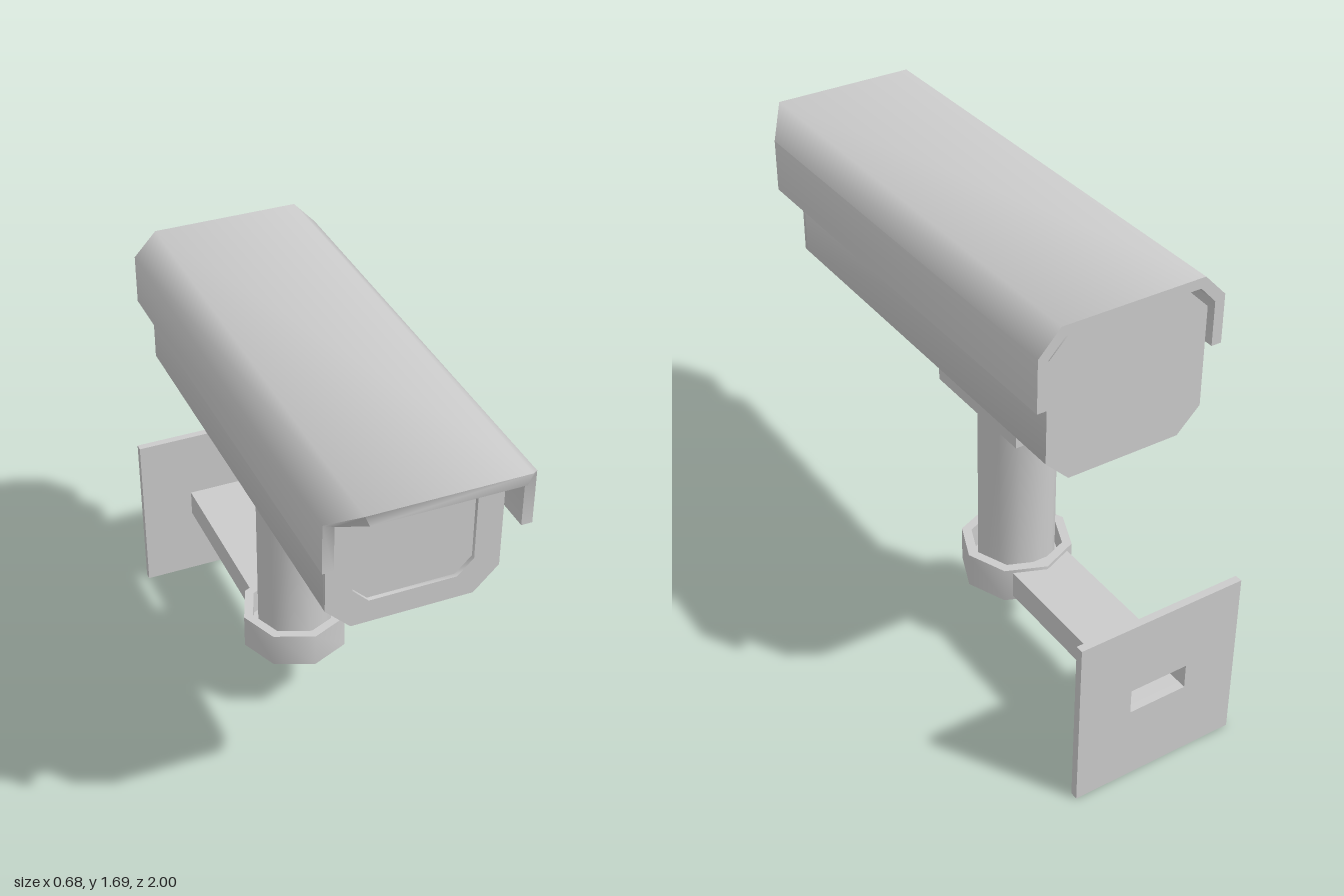
import * as THREE from 'three';
import { toCreasedNormals } from 'three/addons/utils/BufferGeometryUtils.js';

const material = new THREE.MeshStandardMaterial({ color: 0xcccccc, side: THREE.DoubleSide });

function add(group, name, geometry, x = 0, y = 0, z = 0) {
  const mesh = new THREE.Mesh(geometry, material);
  mesh.name = name;
  mesh.position.set(x, y, z);
  group.add(mesh);
  return mesh;
}

const outline = (points) => points.map(([x, y]) => new THREE.Vector2(x, y));

// Rectangle with cut corners, centred on x = 0
function chamfered(halfWidth, bottom, top, cut) {
  const w = halfWidth;
  return outline([
    [w - cut, bottom], [w, bottom + cut], [w, top - cut], [w - cut, top],
    [cut - w, top], [-w, top - cut], [-w, bottom + cut], [cut - w, bottom],
  ]);
}

function rectangle(halfWidth, bottom, top) {
  const w = halfWidth;
  return outline([[-w, bottom], [w, bottom], [w, top], [-w, top]]);
}

// Extrudes an outline, with an optional hole, from z0 to z1
function extrude(points, z0, z1, hole) {
  const shape = new THREE.Shape(points);
  if (hole) shape.holes.push(new THREE.Path(hole));
  const geometry = new THREE.ExtrudeGeometry(shape, { depth: z1 - z0, bevelEnabled: false });
  return geometry.translate(0, 0, z0);
}

const smooth = (geometry, angle = 0.95) => toCreasedNormals(geometry, angle);

// Folded sheet hood whose top reaches further forward than its sides
function hoodGeometry() {
  const geometry = extrude(outline([
    [-0.34, 1.43], [-0.34, 1.605], [-0.26, 1.69], [0.26, 1.69], [0.34, 1.605], [0.34, 1.415],
    [0.303, 1.415], [0.303, 1.59], [0.245, 1.653], [-0.245, 1.653], [-0.303, 1.59], [-0.303, 1.43],
  ]), -0.77, 1);
  const p = geometry.attributes.position;
  for (let i = 0; i < p.count; i++) {
    if (p.getZ(i) > 0.9 && Math.abs(p.getX(i)) > 0.28) p.setZ(i, 0.89);
  }
  return smooth(geometry);
}

export function createModel() {
  const model = new THREE.Group();
  model.name = 'securityCamera';

  // Camera housing with a shallow recessed front window
  const housing = new THREE.Group();
  housing.name = 'housing';
  model.add(housing);
  const bodyOutline = chamfered(0.292, 1.118, 1.652, 0.085);
  const windowOutline = chamfered(0.203, 1.2, 1.57, 0.055);
  add(housing, 'body', smooth(extrude(bodyOutline, -0.75, 0.785)));
  add(housing, 'windowRim', smooth(extrude(bodyOutline, 0.785, 0.8, windowOutline)));
  add(housing, 'hood', hoodGeometry());

  // Block under the housing and the upright post
  const postZ = -0.155;
  add(model, 'mountBlock', new THREE.BoxGeometry(0.335, 0.122, 0.48), 0, 1.059, -0.16);
  add(model, 'post', smooth(new THREE.CylinderGeometry(0.137, 0.137, 0.72, 12)), 0, 0.64, postZ);

  // Eight-sided collar: a hollow ring with a recessed floor
  const ring = new THREE.LatheGeometry(outline([
    [0.165, 0.262], [0.2, 0.262], [0.2, 0.395], [0.165, 0.395], [0.165, 0.262],
  ]), 8);
  add(model, 'collar', smooth(ring), 0, 0, postZ);
  add(model, 'collarFloor', smooth(new THREE.CylinderGeometry(0.166, 0.166, 0.02, 8)), 0, 0.29, postZ);

  // Hollow arm running back to the wall plate
  add(model, 'arm', extrude(rectangle(0.114, 0.28, 0.382), -0.975, -0.295, rectangle(0.11, 0.284, 0.378)));
  add(model, 'armEnd', new THREE.PlaneGeometry(0.224, 0.098), 0, 0.331, -0.296);
  add(model, 'wallPlate', extrude(rectangle(0.314, 0, 0.65), -1, -0.972, rectangle(0.11, 0.284, 0.378)));

  return model;
}
